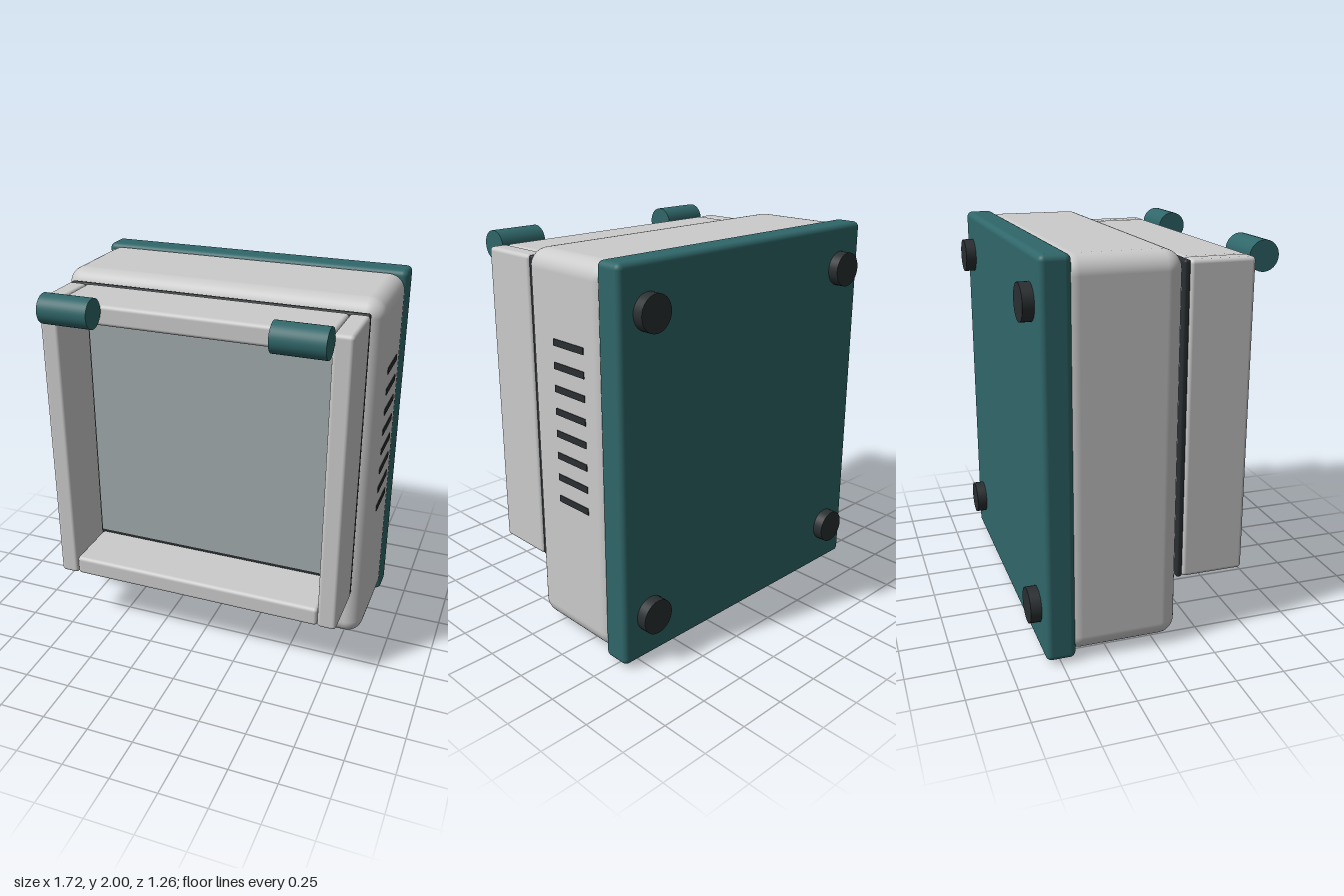
import * as THREE from 'three';
import { RoundedBoxGeometry } from 'three/addons/geometries/RoundedBoxGeometry.js';

const paint = (color) => new THREE.MeshStandardMaterial({ color });

export function createModel() {
  const model = new THREE.Group();
  const shell = paint(0xcdd1ce);
  const teal = paint(0x30676a);
  const dark = paint(0x2a2f31);
  const glass = paint(0xa2abae);
  const screen = paint(0x152628);

  const add = (name, geometry, material, x, y, z) => {
    const mesh = new THREE.Mesh(geometry, material);
    mesh.name = name;
    mesh.position.set(x, y, z);
    model.add(mesh);
    return mesh;
  };

  // Box given by its [min, max] range on each axis; r rounds the edges
  const box = (name, material, [x0, x1], [y0, y1], [z0, z1], r = 0) => {
    const size = [x1 - x0, y1 - y0, z1 - z0];
    const geometry = r ? new RoundedBoxGeometry(...size, 5, r) : new THREE.BoxGeometry(...size);
    return add(name, geometry, material, (x0 + x1) / 2, (y0 + y1) / 2, (z0 + z1) / 2);
  };

  // Main housing and its base plate
  box('housing', shell, [-0.855, 0.855], [0.035, 1.988], [-0.48, 0.11], 0.09);
  box('basePlate', teal, [-0.86, 0.86], [0.018, 2], [-0.575, -0.425], 0.03);

  // Lid: gasket, window and the four bars of its frame
  box('gasket', dark, [-0.797, 0.797], [0.335, 1.935], [0.118, 0.15], 0.012);
  box('window', glass, [-0.7, 0.7], [0.45, 1.82], [0.13, 0.156]);
  for (const side of [-1, 1]) {
    const x = side * 0.75;
    box('lidSideBar', shell, [x - 0.051, x + 0.051], [0.335, 1.935], [0.148, 0.475], 0.02);
  }
  box('lidLowerBar', shell, [-0.7, 0.7], [0.335, 0.44], [0.148, 0.472], 0.02);
  box('lidUpperBar', shell, [-0.7, 0.7], [1.83, 1.935], [0.148, 0.472], 0.02);

  // Round lid latches
  for (const side of [-1, 1]) {
    const latch = add('latch', new THREE.CylinderGeometry(0.076, 0.076, 0.265, 40), teal, side * 0.583, 1.92, 0.557);
    latch.rotation.z = Math.PI / 2;
  }

  // Rubber feet
  for (const x of [-0.69, 0.69]) {
    for (const y of [0.255, 1.77]) {
      const foot = add('foot', new THREE.CylinderGeometry(0.09, 0.09, 0.075, 32), dark, x, y, -0.5925);
      foot.rotation.x = Math.PI / 2;
    }
  }

  // Vent slots on the left side
  for (let i = 0; i < 8; i++) {
    const y = 0.768 + i * 0.1145;
    box('ventSlot', dark, [0.84, 0.859], [y - 0.017, y + 0.017], [-0.32, -0.1]);
  }

  // Control panel on the underside
  box('displayBezel', teal, [-0.67, 0.25], [0.016, 0.05], [-0.385, -0.175], 0.008);
  box('display', screen, [-0.63, 0.21], [0, 0.03], [-0.365, -0.195]);
  box('buttonStrip', teal, [-0.62, -0.26], [0.016, 0.05], [-0.16, -0.11], 0.008);
  box('buttonInset', screen, [-0.61, -0.36], [0.008, 0.03], [-0.15, -0.12]);

  return model;
}
